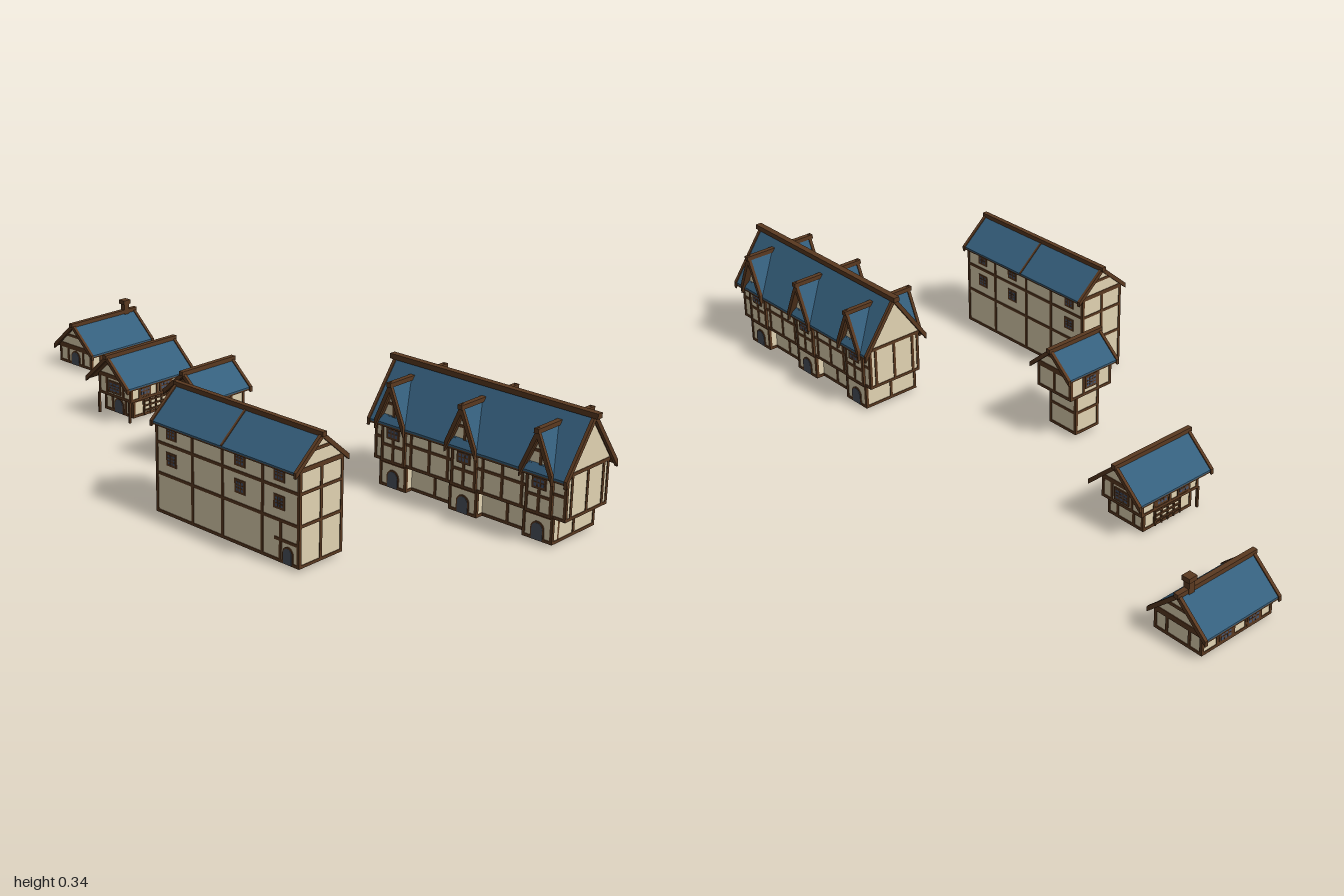
import * as THREE from 'three';

const mat = (name, color) => Object.assign(new THREE.MeshStandardMaterial({ color }), { name });
const plaster = mat('plaster', 0xe1d3b2);
plaster.side = THREE.DoubleSide;
const timber = mat('timber', 0x5a3920);
const tile = mat('roof tile', 0x355f7d);
const glass = mat('window glass', 0x46546c);
const doorGrey = mat('door', 0x4b525e);

const T = 0.008; // timber thickness
const P = 0.002; // how far timbers stand proud of the plaster
const SIDES = [-1, 1], R = Math.PI / 2;

function add(g, name, geo, m, x = 0, y = 0, z = 0) {
  const mesh = new THREE.Mesh(geo, m);
  mesh.name = name;
  mesh.position.set(x, y, z);
  g.add(mesh);
  return mesh;
}
const box = (g, name, m, w, h, d, x, y, z) => add(g, name, new THREE.BoxGeometry(w, h, d), m, x, y, z);

function prism(g, name, m, pts, z0, z1) {
  const shape = new THREE.Shape(pts.map(([x, y]) => new THREE.Vector2(x, y)));
  return add(g, name, new THREE.ExtrudeGeometry(shape, { depth: z1 - z0, bevelEnabled: false }), m, 0, 0, z0);
}

// Storey: four thin plastered walls, open below unless it has a floor, framed in timber
function storey(g, { hw, y0, y1, z0, z1, postsZ = [], postsX = [], rails = [], sideRails = [], floor = false }) {
  const h = y1 - y0, d = z1 - z0, cy = (y0 + y1) / 2, cz = (z0 + z1) / 2;
  const offset = P - T / 2; // timbers are let into the wall
  const ends = [y0 + T / 2, ...rails, y1 - T / 2];
  for (const s of SIDES) {
    const x = s * (hw + offset), z = cz + s * (d / 2 + offset);
    add(g, 'sideWall', new THREE.PlaneGeometry(d, h), plaster, s * hw, cy, cz).rotation.y = s * R;
    add(g, 'endWall', new THREE.PlaneGeometry(2 * hw, h), plaster, 0, cy, cz + s * d / 2).rotation.y = s > 0 ? 0 : Math.PI;
    for (const y of [...ends, ...sideRails]) box(g, 'sideRail', timber, T, T, d, x, y, cz);
    for (const y of ends) box(g, 'endRail', timber, 2 * hw, T, T, 0, y, z);
    for (const pz of postsZ) box(g, 'sidePost', timber, T, h, T, x, cy, pz);
    for (const px of postsX) box(g, 'endPost', timber, T, h, T, px, cy, z);
    for (const t of SIDES) box(g, 'cornerPost', timber, T, h, T, t * (hw + offset), cy, z);
  }
  if (floor) box(g, 'floor', plaster, 2 * hw, 0.002, d, 0, y0 + 0.002, cz);
}

// Gable roof with its ridge along z, bargeboards at both ends and plastered gable walls
function gableRoof(g, { hw, eave, ridge, z0, z1, wallHw, wallZ0, wallZ1, bands = [], kingPost = false, cross = [] }) {
  const slope = (ridge - eave) / hw, k = Math.hypot(1, slope);
  const chevron = (name, m, top, low, a, b, over = 0) => {
    const X = hw + over, e = eave - slope * over;
    prism(g, name, m, [[-X, e + top * k], [-X, e + low * k], [0, ridge + low * k],
      [X, e + low * k], [X, e + top * k], [0, ridge + top * k]], a, b);
  };
  chevron('roofTiles', tile, 0, -0.003, z0, z1);
  chevron('roofBoards', timber, -0.003, -0.006, z0, z1);
  for (const [a, b] of [[z0 - 0.001, z0 + T], [z1 - T, z1 + 0.001]]) chevron('bargeboard', timber, 0.003, -0.008, a, b, 0.003);
  for (const z of cross) chevron('roofBatten', timber, 0.002, -0.003, z - 0.003, z + 0.003);
  box(g, 'ridgeBeam', timber, 0.014, 0.012, z1 - z0 + 0.01, 0, ridge, (z0 + z1) / 2);

  const under = x => ridge - slope * x - 0.005 * k;
  const base = Math.min(eave, under(wallHw)) - 0.002;
  prism(g, 'gableWall', plaster, [[-wallHw, base], [wallHw, base], [wallHw, under(wallHw)],
    [0, under(0)], [-wallHw, under(wallHw)]], wallZ0, wallZ1);
  const len = wallZ1 - wallZ0 + 2 * P, cz = (wallZ0 + wallZ1) / 2;
  for (const y of bands) {
    const half = Math.min(wallHw, (ridge - y - T / 2) / slope - 0.004);
    box(g, 'gableBand', timber, 2 * half, T, len, 0, y, cz);
  }
  if (kingPost) box(g, 'kingPost', timber, T, under(0) - base, len, 0, (under(0) + base) / 2, cz);
}

// Latticed window facing along +z of its own group
function window_(g, x, y, z, rot, w = 0.036, h = 0.034) {
  const n = new THREE.Group();
  n.name = 'window';
  n.position.set(x, y, z);
  n.rotation.y = rot;
  box(n, 'windowFrame', timber, w, h, 0.004, 0, 0, 0);
  box(n, 'windowPane', glass, w - 0.012, h - 0.012, 0.001, 0, 0, 0.002);
  for (const i of [-1, 1]) {
    box(n, 'windowBar', timber, 0.003, h - 0.012, 0.002, i * (w - 0.012) / 6, 0, 0.002);
    box(n, 'glazingBar', timber, w - 0.012, 0.003, 0.002, 0, i * (h - 0.012) / 6, 0.002);
  }
  g.add(n);
}

// Round-headed door
function door(g, x, y, z, rot, w = 0.032, h = 0.04) {
  const n = new THREE.Group();
  n.name = 'door';
  n.position.set(x, y, z);
  n.rotation.y = rot;
  const arch = (name, m, r, top, depth) => {
    const s = new THREE.Shape();
    s.moveTo(-r, 0).lineTo(r, 0).lineTo(r, top - r).absarc(0, top - r, r, 0, Math.PI, false).lineTo(-r, 0);
    add(n, name, new THREE.ExtrudeGeometry(s, { depth, bevelEnabled: false, curveSegments: 6 }), m);
  };
  arch('doorFrame', timber, w / 2 + 0.004, h + 0.004, 0.0025);
  arch('doorLeaf', doorGrey, w / 2, h, 0.0035);
  g.add(n);
}

function group(name, x, z, rot = 0) {
  const g = new THREE.Group();
  g.name = name;
  g.position.set(x, 0, z);
  g.rotation.y = rot;
  return g;
}

function cottage() {
  const g = group('cottage', -0.905, -0.3);
  storey(g, { hw: 0.073, y0: 0.008, y1: 0.064, z0: -0.117, z1: 0.117, postsZ: [-0.066, -0.012, 0.03, 0.08], postsX: [-0.035, 0.035] });
  gableRoof(g, { hw: 0.088, eave: 0.06, ridge: 0.14, z0: -0.126, z1: 0.13, wallHw: 0.073, wallZ0: -0.117, wallZ1: 0.117, bands: [0.067, 0.1] });
  for (const s of SIDES) for (const z of [-0.039, 0.055]) window_(g, s * 0.074, 0.035, z, s * R, 0.046, 0.042);
  door(g, 0, 0.01, 0.117, 0);
  box(g, 'chimney', timber, 0.018, 0.06, 0.018, 0, 0.14, -0.088);
  box(g, 'chimneyCap', timber, 0.024, 0.013, 0.026, 0, 0.171, -0.088);
  return g;
}

function inn() {
  const g = group('jettiedHouse', -0.483, -0.078);
  storey(g, { hw: 0.06, y0: 0.008, y1: 0.062, z0: -0.085, z1: 0.085, postsZ: [0.045, -0.045], postsX: [-0.028, 0.028] });
  storey(g, { hw: 0.068, y0: 0.06, y1: 0.122, z0: -0.1, z1: 0.1, postsZ: [-0.055, 0, 0.03, 0.068], postsX: [-0.035, 0.035], floor: true });
  gableRoof(g, { hw: 0.087, eave: 0.111, ridge: 0.19, z0: -0.13, z1: 0.133, wallHw: 0.068, wallZ0: -0.1, wallZ1: 0.1, bands: [0.122, 0.155] });
  for (const s of SIDES) {
    for (const z of [-0.03, 0.048]) window_(g, s * 0.069, 0.09, z, s * R, 0.044, 0.04);
    window_(g, 0, 0.09, s * 0.101, s > 0 ? 0 : Math.PI, 0.052, 0.036);
    // Side lattice and porch posts
    for (const y of [0.022, 0.036, 0.05]) box(g, 'latticeRail', timber, 0.005, 0.004, 0.09, s * 0.062, y, 0);
    for (let i = 0; i < 5; i++) box(g, 'latticePost', timber, 0.005, 0.052, 0.004, s * 0.062, 0.034, -0.044 + i * 0.022);
    box(g, 'porchPost', timber, 0.007, 0.062, 0.006, s * 0.066, 0.031, 0.104);
  }
  door(g, 0, 0.01, 0.085, 0);
  return g;
}

function tower() {
  const g = group('towerHouse', -0.053, 0.066);
  storey(g, { hw: 0.05, y0: 0.014, y1: 0.14, z0: -0.041, z1: 0.041, rails: [0.08] });
  storey(g, { hw: 0.063, y0: 0.136, y1: 0.207, z0: -0.073, z1: 0.073, postsZ: [-0.026, 0.026], postsX: [0], floor: true });
  gableRoof(g, { hw: 0.073, eave: 0.207, ridge: 0.271, z0: -0.092, z1: 0.092, wallHw: 0.063, wallZ0: -0.073, wallZ1: 0.073, bands: [0.21, 0.242] });
  for (const s of SIDES) window_(g, s * 0.064, 0.174, 0, s * R, 0.044, 0.038);
  window_(g, 0, 0.106, 0.041, 0, 0.038, 0.036);
  door(g, 0, 0.016, 0.041, 0, 0.03, 0.042);
  return g;
}

function longHall() {
  const hall = group('dormerHall', 0, 0);
  const main = group('hallBody', 0.677, -0.21, R);
  storey(main, { hw: 0.062, y0: 0.008, y1: 0.08, z0: -0.265, z1: 0.265, postsX: [0], postsZ: [-0.115, 0.115] });
  storey(main, { hw: 0.084, y0: 0.076, y1: 0.198, z0: -0.3, z1: 0.3, postsX: [-0.064, 0, 0.064], postsZ: [-0.18, -0.12, -0.06, 0.05, 0.11, 0.17], sideRails: [0.14], floor: true });
  gableRoof(main, { hw: 0.103, eave: 0.188, ridge: 0.332, z0: -0.312, z1: 0.312, wallHw: 0.088, wallZ0: -0.3, wallZ1: 0.3, bands: [0.195] });
  box(main, 'ridgeCap', timber, 0.018, 0.014, 0.646, 0, 0.332, 0);
  hall.add(main);
  // Cross bays with a dormer gable on both long sides
  for (const x of [0.441, 0.671, 0.901]) {
    const b = group('dormerBay', x, -0.21);
    storey(b, { hw: 0.043, y0: 0.008, y1: 0.08, z0: -0.086, z1: 0.086, postsZ: [0] });
    storey(b, { hw: 0.038, y0: 0.076, y1: 0.205, z0: -0.089, z1: 0.089, rails: [0.125], postsX: [0] });
    gableRoof(b, { hw: 0.045, eave: 0.195, ridge: 0.298, z0: -0.11, z1: 0.11, wallHw: 0.038, wallZ0: -0.089, wallZ1: 0.089, bands: [0.2, 0.24], kingPost: true });
    for (const s of SIDES) {
      const rot = s > 0 ? 0 : Math.PI;
      window_(b, 0, 0.165, s * 0.09, rot, 0.042, 0.044);
      door(b, 0, 0.01, s * 0.086, rot, 0.032, 0.044);
    }
    hall.add(b);
  }
  return hall;
}

function tallHall() {
  const g = group('tallHall', 0.365, 0.335, R);
  storey(g, { hw: 0.073, y0: 0.008, y1: 0.257, z0: -0.245, z1: 0.245, postsX: [0], postsZ: [-0.115, -0.01, 0.125], rails: [0.115, 0.197] });
  gableRoof(g, { hw: 0.088, eave: 0.254, ridge: 0.33, z0: -0.249, z1: 0.249, wallHw: 0.073, wallZ0: -0.245, wallZ1: 0.245, bands: [0.257, 0.297], cross: [0] });
  for (const s of SIDES) for (const z of [-0.19, 0.05, 0.18]) for (const y of [0.16, 0.23])
    window_(g, s * 0.073, y, z, s * R, 0.036, 0.036);
  // Front door (local -x faces the front)
  door(g, -0.073, 0.01, 0.21, -R, 0.026, 0.04);
  box(g, 'doorPost', timber, T, 0.105, T, -0.071, 0.06, 0.185);
  box(g, 'doorLintel', timber, T, T, 0.08, -0.071, 0.066, 0.205);
  return g;
}

export function createModel() {
  const village = new THREE.Group();
  village.name = 'village';
  village.add(cottage(), inn(), tower(), longHall(), tallHall());
  return village;
}
